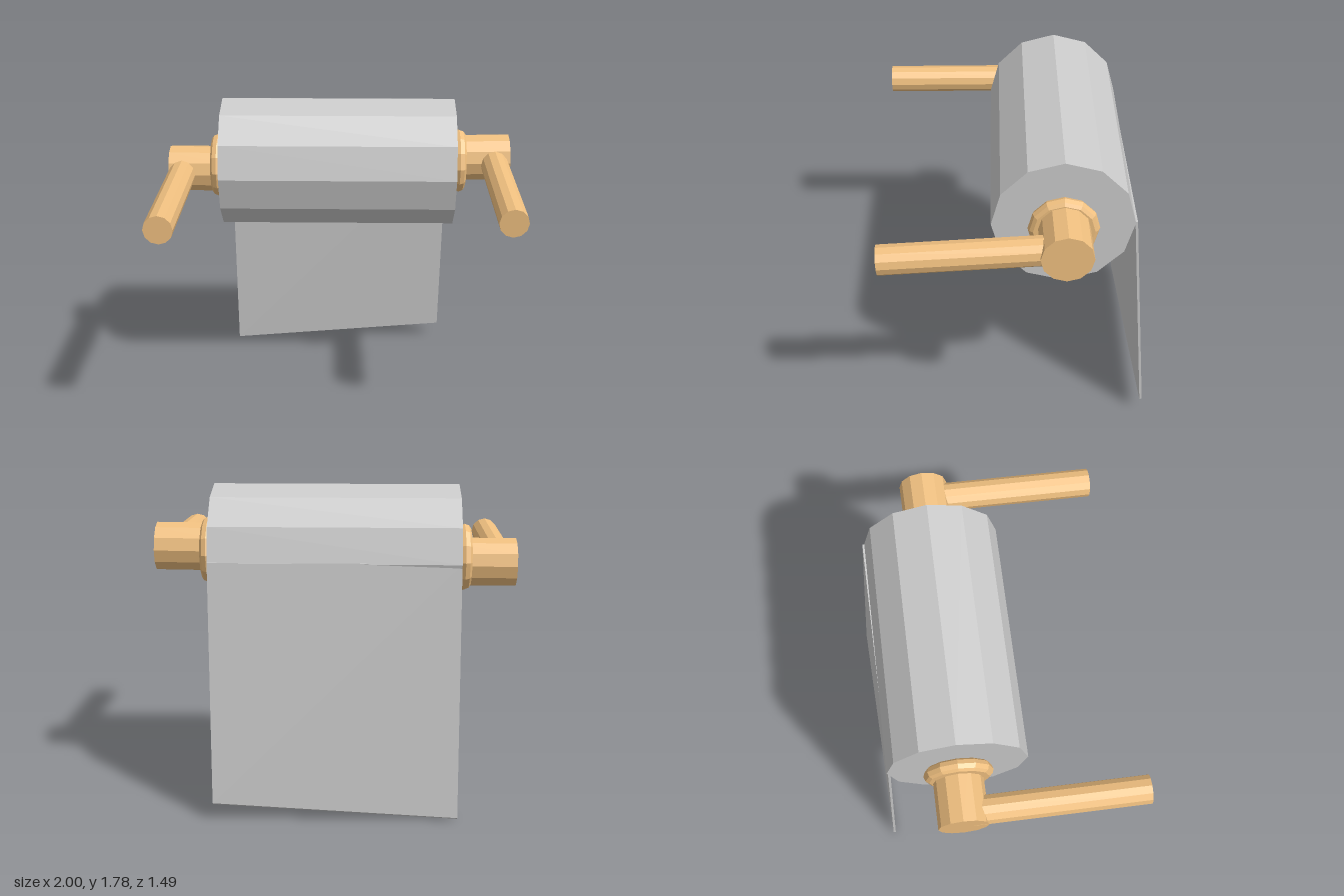
import * as THREE from 'three';

const SIDES = 12;
const AXIS_Z = -0.25;
const paper = new THREE.MeshStandardMaterial({ color: 0xcccccc, flatShading: true });
const wood = new THREE.MeshStandardMaterial({ color: 0xf0c080, flatShading: true });

function add(parent, name, geometry, material) {
  const mesh = new THREE.Mesh(geometry, material);
  mesh.name = name;
  parent.add(mesh);
  return mesh;
}

// Faceted round bar running from point a to point b
function bar(parent, name, a, b, radius, material) {
  const start = new THREE.Vector3(...a);
  const dir = new THREE.Vector3(...b).sub(start);
  const geometry = new THREE.CylinderGeometry(radius, radius, dir.length(), SIDES);
  const mesh = add(parent, name, geometry, material);
  mesh.position.copy(start).addScaledVector(dir, 0.5);
  mesh.quaternion.setFromUnitVectors(new THREE.Vector3(0, 1, 0), dir.normalize());
  return mesh;
}

// Rounded collar pressed against the end of the roll
function collar(parent, name, x, y) {
  const profile = [[0.12, -0.036], [0.16, -0.036], [0.178, -0.024], [0.187, 0],
    [0.178, 0.024], [0.16, 0.036], [0.12, 0.036]].map(([r, h]) => new THREE.Vector2(r, h));
  const mesh = add(parent, name, new THREE.LatheGeometry(profile, SIDES), wood);
  mesh.rotation.z = -Math.PI / 2;
  mesh.position.set(x, y, AXIS_Z);
}

// Hanging sheet: a thin box whose corners are moved to a slight twist
function sheetGeometry() {
  const geometry = new THREE.BoxGeometry(2, 2, 2);
  const p = geometry.attributes.position;
  for (let i = 0; i < p.count; i++) {
    const right = p.getX(i) > 0, top = p.getY(i) > 0, back = p.getZ(i) < 0;
    const x = right ? (top ? 0.665 : 0.655) : (top ? -0.68 : -0.685);
    const y = top ? 1.415 : (right ? 0.09 : 0) + (back ? 0.01 : 0);
    const z = top ? (right ? -0.622 : -0.605) : (right ? -0.735 : -0.688);
    p.setXYZ(i, x, y, back ? z - 0.013 : z);
  }
  geometry.computeVertexNormals();
  return geometry;
}

export function createModel() {
  const model = new THREE.Group();
  model.name = 'paperRollHolder';

  // Paper
  bar(model, 'paperRoll', [-0.68, 1.41, AXIS_Z], [0.667, 1.41, AXIS_Z], 0.375, paper);
  add(model, 'hangingSheet', sheetGeometry(), paper);

  // Holder ends: each has a peg, a collar and an arm reaching forward
  const ends = [
    { name: 'rightHolder', peg: [[-0.66, 1.355, -0.255], [-1, 1.355, -0.255]],
      collar: [-0.715, 1.38], arm: [[-0.922, 1.357, -0.2], [-0.922, 1.357, 0.742]] },
    { name: 'leftHolder', peg: [[0.65, 1.43, -0.25], [0.993, 1.435, -0.255]],
      collar: [0.703, 1.412], arm: [[0.902, 1.428, -0.2], [0.916, 1.385, 0.693]] },
  ];
  for (const end of ends) {
    const holder = new THREE.Group();
    holder.name = end.name;
    bar(holder, 'peg', ...end.peg, 0.135, wood);
    collar(holder, 'collar', ...end.collar);
    bar(holder, 'arm', ...end.arm, 0.079, wood);
    model.add(holder);
  }
  return model;
}
